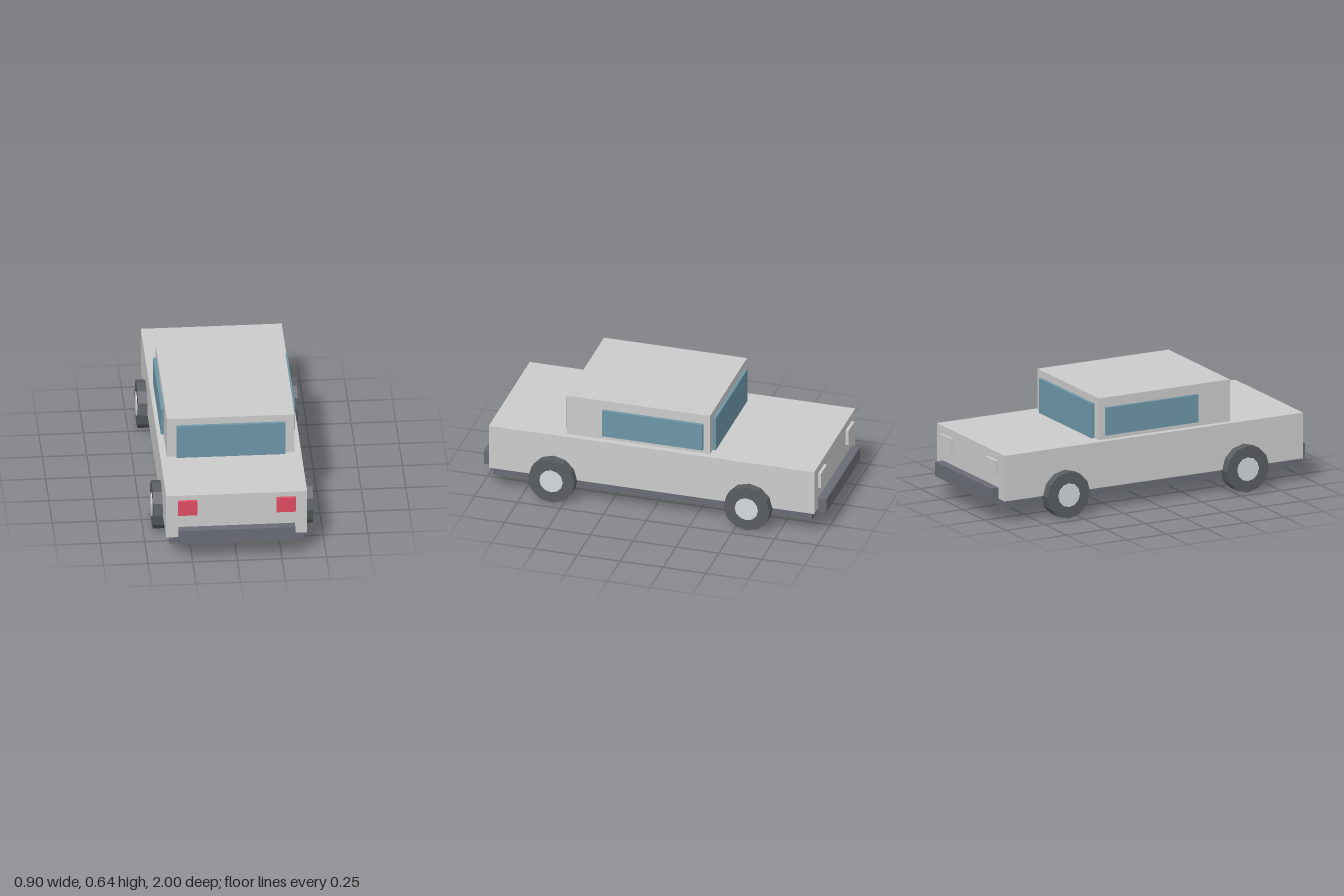
import * as THREE from 'three';

const mat = (color) => new THREE.MeshStandardMaterial({ color, flatShading: true });

export function createModel() {
  const car = new THREE.Group();
  car.name = 'car';
  const paint = mat(0xcccccc), glass = mat(0x6d96a7), trim = mat(0x696c76);
  const rubber = mat(0x5a5e61), metal = mat(0xd4d8dc), red = mat(0xe04d62), lamp = mat(0xf2f2f2);

  // Box given by its extents on each axis
  function box(name, material, [x0, x1], [y0, y1], [z0, z1]) {
    const mesh = new THREE.Mesh(new THREE.BoxGeometry(x1 - x0, y1 - y0, z1 - z0), material);
    mesh.position.set((x0 + x1) / 2, (y0 + y1) / 2, (z0 + z1) / 2);
    mesh.name = name;
    car.add(mesh);
  }

  // Body shell, cabin and underbody
  box('chassis', trim, [-0.375, 0.375], [0.085, 0.135], [-0.93, 0.93]);
  box('body', paint, [-0.395, 0.395], [0.135, 0.4], [-0.95, 0.95]);
  box('cabin', paint, [-0.358, 0.358], [0.4, 0.642], [-0.33, 0.505]);

  // Windows at both ends of the cabin
  box('frontWindow', glass, [-0.305, 0.305], [0.4, 0.6], [0.505, 0.523]);
  box('backWindow', glass, [-0.305, 0.305], [0.4, 0.6], [-0.348, -0.33]);

  // Bumpers
  box('frontBumper', trim, [-0.325, 0.325], [0.116, 0.2], [0.95, 1]);
  box('backBumper', trim, [-0.325, 0.325], [0.116, 0.2], [-1, -0.95]);

  // Wheel with its hubcap, facing along +y before turning outward
  function wheel(name, side, z) {
    const group = new THREE.Group();
    group.name = name;
    const tyre = new THREE.Mesh(new THREE.CylinderGeometry(0.135, 0.135, 0.087, 12), rubber);
    tyre.name = 'tyre';
    const hub = new THREE.Mesh(new THREE.CylinderGeometry(0.068, 0.068, 0.091, 12), metal);
    hub.name = 'hubcap';
    hub.position.y = 0.0025;
    group.add(tyre, hub);
    group.rotation.z = -side * Math.PI / 2;
    group.position.set(side * 0.404, 0.135, z);
    car.add(group);
  }

  // Mirrored parts
  for (const side of [1, -1]) {
    const label = side > 0 ? 'left' : 'right';
    const span = (a, b) => (side > 0 ? [a, b] : [-b, -a]);
    box(label + 'SideWindow', glass, span(0.358, 0.376), [0.426, 0.586], [-0.292, 0.295]);
    box(label + 'RedLight', red, span(0.222, 0.33), [0.28, 0.37], [0.95, 0.967]);
    box(label + 'ClearLight', lamp, span(0.205, 0.325), [0.267, 0.355], [-0.967, -0.95]);
    wheel(label + 'FrontWheel', side, 0.57);
    wheel(label + 'BackWheel', side, -0.57);
  }
  return car;
}
